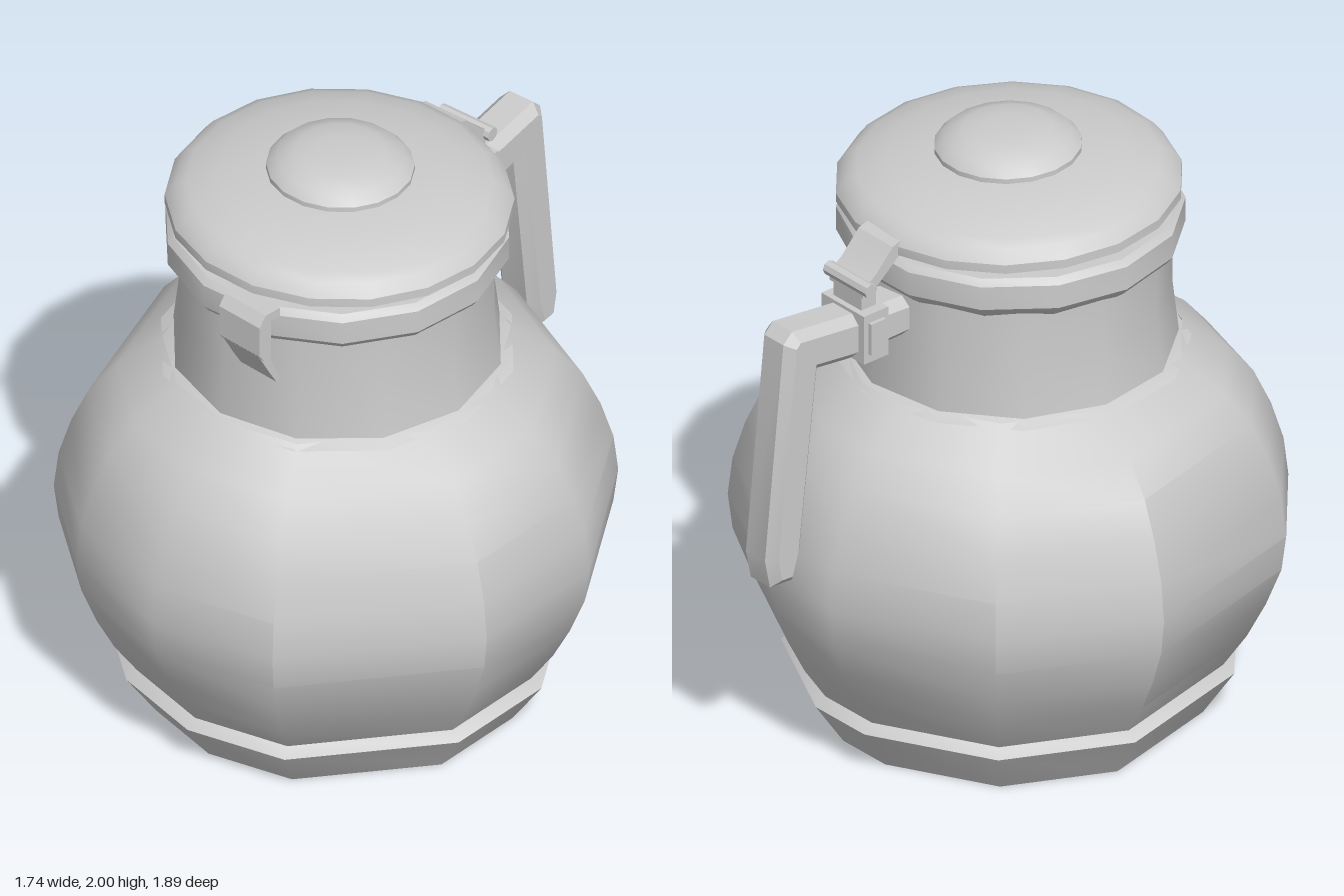
import * as THREE from 'three';
import { toCreasedNormals } from 'three/addons/utils/BufferGeometryUtils.js';

const CZ = 0.07; // axis of the jug, set forward to balance the handle

const material = new THREE.MeshStandardMaterial({ color: 0xcccccc, side: THREE.DoubleSide });

function add(parent, name, geometry, crease = 0.62) {
  const mesh = new THREE.Mesh(toCreasedNormals(geometry, crease), material);
  mesh.name = name;
  parent.add(mesh);
  return mesh;
}

// Lathe of [radius, y] points; optional uneven corners replace the even spacing
function turned(profile, sides, corners) {
  const points = profile.map(([r, y]) => new THREE.Vector2(r, y));
  const n = corners ? corners.length : sides;
  const g = new THREE.LatheGeometry(points, n);
  if (corners) {
    const p = g.attributes.position;
    for (let i = 0; i <= n; i++) {
      const [x, z] = corners[i % n];
      const a = Math.atan2(x, z - CZ);
      points.forEach((pt, j) =>
        p.setXYZ(i * points.length + j, pt.x * Math.sin(a), pt.y, pt.x * Math.cos(a)));
    }
  }
  return g;
}

function box(w, h, d, x, y, z) {
  return new THREE.BoxGeometry(w, h, d).translate(x, y, z);
}

// Side outline [outward, y] extruded across the given width, with chamfered edges
function sidePlate(outline, width, bevel = 0) {
  const shape = new THREE.Shape(outline.map(([r, y]) => new THREE.Vector2(r, y)));
  const depth = width - 2 * bevel;
  const g = new THREE.ExtrudeGeometry(shape, {
    depth, bevelEnabled: bevel > 0, bevelThickness: bevel, bevelSize: bevel,
    bevelOffset: -bevel, bevelSegments: 1,
  });
  // outline x becomes outward +z
  return g.translate(0, 0, -depth / 2).rotateY(-Math.PI / 2);
}

export function createModel() {
  const model = new THREE.Group();
  model.name = 'lidded jug';
  const jug = new THREE.Group();
  jug.name = 'vessel';
  jug.position.z = CZ;
  model.add(jug);

  // Uneven plan of the belly, as [x, z], counter-clockwise seen from above
  const plan = [
    [0.14, 0.94], [0.54, 0.8], [0.87, 0.2], [0.81, -0.26], [0.47, -0.67], [-0.05, -0.79],
    [-0.32, -0.73], [-0.74, -0.39], [-0.87, 0.13], [-0.57, 0.69], [-0.25, 0.9],
  ];

  // Foot with a shallow recess underneath
  add(jug, 'foot', turned([
    [0, 0.06], [0.42, 0.06], [0.45, 0], [0.61, 0], [0.71, 0.15], [0.67, 0.18], [0.6, 0.18],
  ], 0, plan));

  // Rounded belly
  add(jug, 'belly', turned([
    [0.67, 0.17], [0.75, 0.29], [0.81, 0.41], [0.86, 0.54], [0.875, 0.66], [0.86, 0.79],
    [0.82, 0.92], [0.765, 1.04], [0.68, 1.14], [0.54, 1.25],
  ], 0, plan));

  // Neck, slightly waisted, with a shoulder lapping the belly
  add(jug, 'neck', turned([
    [0.56, 1.235], [0.52, 1.255], [0.5, 1.43], [0.5, 1.62],
  ], 12)).rotation.y = 0.1;

  // Metal band around the mouth
  add(jug, 'rimBand', turned([
    [0.48, 1.595], [0.52, 1.625], [0.54, 1.65], [0.54, 1.73], [0.52, 1.75], [0, 1.75],
  ], 14));

  // Lid, tipped slightly open at the front
  const lid = new THREE.Group();
  lid.name = 'lid';
  lid.position.set(0.01, 1.765, 0);
  lid.rotation.x = -0.025;
  jug.add(lid);
  add(lid, 'lidDisc', turned([
    [0, 0.005], [0.5, 0], [0.54, 0.02], [0.54, 0.05], [0.51, 0.09], [0.475, 0.107],
    [0.38, 0.14], [0.22, 0.16], [0, 0.165],
  ], 18));
  add(lid, 'lidKnob', turned([
    [0.23, 0.15], [0.23, 0.175], [0.2, 0.205], [0.14, 0.228], [0.07, 0.234], [0, 0.235],
  ], 18));

  // Front clasp hooked over the band, its tongue bending in to the neck
  const clasp = new THREE.Group();
  clasp.name = 'frontClasp';
  clasp.position.x = 0.135;
  clasp.rotation.y = 0.12;
  jug.add(clasp);
  add(clasp, 'claspHook', sidePlate([
    [0.48, 1.77], [0.48, 1.74], [0.52, 1.74], [0.52, 1.6], [0.55, 1.6],
    [0.572, 1.63], [0.572, 1.74], [0.545, 1.775],
  ], 0.17));
  add(clasp, 'claspTongue', sidePlate([
    [0.53, 1.62], [0.47, 1.49], [0.485, 1.48], [0.515, 1.53], [0.565, 1.62],
  ], 0.15));

  // Handle assembly, turned towards the back; local +z points outward
  const back = new THREE.Group();
  back.name = 'handleAssembly';
  back.rotation.y = Math.PI + 0.21;
  jug.add(back);
  add(back, 'handle', sidePlate([
    [0.44, 1.46], [0.44, 1.595], [0.65, 1.605], [0.93, 1.635], [0.965, 1.6],
    [1.04, 0.86], [1.02, 0.76], [0.93, 0.755], [0.9, 0.86], [0.83, 1.47], [0.7, 1.455],
  ], 0.15, 0.03), 0.3);

  // Collar gripping the arm
  add(back, 'collar', box(0.2, 0.17, 0.1, 0, 1.535, 0.635), 0.3);
  add(back, 'collarRim', box(0.225, 0.11, 0.06, 0, 1.535, 0.635), 0.3);
  add(back, 'hingePost', box(0.13, 0.1, 0.06, 0, 1.65, 0.635), 0.3);

  // Strap and pin joining the lid to the collar
  add(back, 'hingeStrap', sidePlate([
    [0.46, 1.84], [0.46, 1.81], [0.53, 1.765], [0.62, 1.69], [0.67, 1.67],
    [0.67, 1.7], [0.62, 1.735], [0.55, 1.81],
  ], 0.16), 0.3);
  add(back, 'hingePin',
    new THREE.CylinderGeometry(0.024, 0.024, 0.2, 8).rotateZ(Math.PI / 2).translate(0, 1.7, 0.655));

  return model;
}
